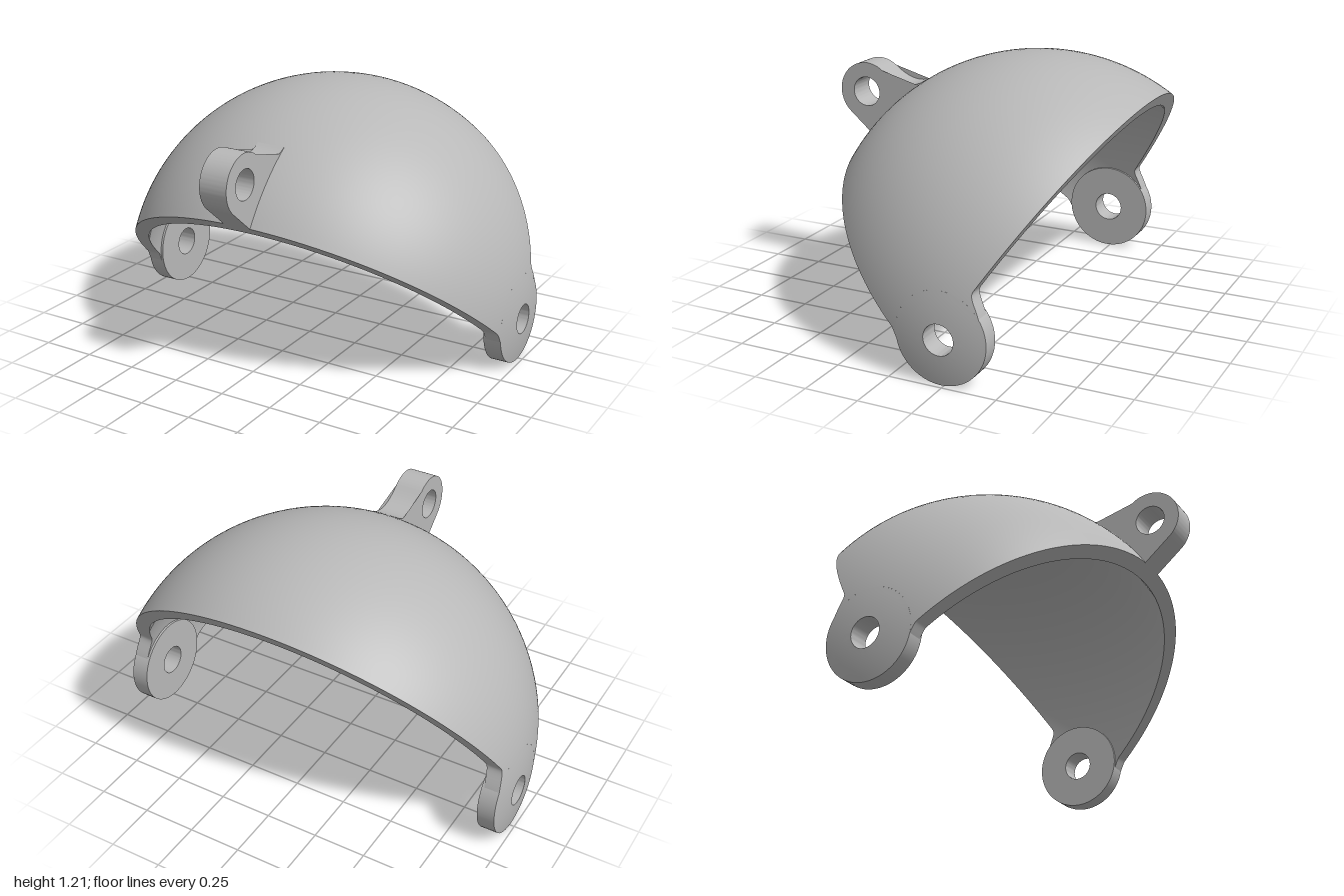
import * as THREE from 'three';
import { toCreasedNormals } from 'three/addons/utils/BufferGeometryUtils.js';

const CY = 0.213, CZ = -0.235;          // sphere centre and hinge axis
const R_OUT = 1, R_IN = 0.93;           // shell radii
const TAB_R = 0.21, HOLE_R = 0.07, TAB_X = 0.895;
const DEG = Math.PI / 180;
const TILT = 40.5 * DEG, OFFSET = 0.144; // front cut plane

// Start and end angles of the shell around the hinge axis, with small fillets at the tabs
const frontAngle = (rho) =>
  TILT - Math.asin(OFFSET / rho) - 8 * DEG * Math.max(0, (0.235 - rho) / 0.025) ** 2;
const backAngle = (rho) => 122.7 * DEG + 24 * DEG * Math.max(0, (0.27 - rho) / 0.06) ** 2.5;

// Point on a sphere of radius r; u runs from +x to -x, v from front cut to back cut
function shellPoint(r, u, v) {
  const a = Math.asin(TAB_R / r);
  const s = u - 0.9 * Math.sin(2 * Math.PI * u) / (2 * Math.PI);
  const phi = a + (Math.PI - 2 * a) * s;
  const rho = Math.max(TAB_R, r * Math.sin(phi));
  const t = THREE.MathUtils.lerp(frontAngle(rho), backAngle(rho), v);
  return [r * Math.cos(phi), CY + rho * Math.sin(t), CZ + rho * Math.cos(t)];
}

// Smooth grid surface from a point function
function grid(fn, nu, nv, flip) {
  const pos = [], idx = [];
  for (let j = 0; j <= nv; j++)
    for (let i = 0; i <= nu; i++) pos.push(...fn(i / nu, j / nv));
  for (let j = 0; j < nv; j++)
    for (let i = 0; i < nu; i++) {
      const a = j * (nu + 1) + i, b = a + 1, c = a + nu + 1, d = c + 1;
      if (flip) idx.push(a, b, c, b, d, c);
      else idx.push(a, c, b, b, c, d);
    }
  const g = new THREE.BufferGeometry();
  g.setAttribute('position', new THREE.Float32BufferAttribute(pos, 3));
  g.setIndex(idx);
  g.computeVertexNormals();
  return g;
}

export function createModel() {
  const model = new THREE.Group();
  model.name = 'hingedVisor';
  const grey = new THREE.MeshStandardMaterial({ color: 0xb8b8b8, side: THREE.DoubleSide });
  grey.name = 'grey';
  const add = (parent, name, geometry) => {
    const mesh = new THREE.Mesh(geometry, grey);
    mesh.name = name;
    parent.add(mesh);
    return mesh;
  };

  // Spherical shell: two skins and the two cut edges
  const shell = new THREE.Group();
  shell.name = 'shell';
  model.add(shell);
  const rim = (v) => (u, w) => shellPoint(R_OUT + (R_IN - R_OUT) * w, u, v);
  add(shell, 'outerSkin', grid((u, v) => shellPoint(R_OUT, u, v), 120, 48, false));
  add(shell, 'innerSkin', grid((u, v) => shellPoint(R_IN, u, v), 120, 48, true));
  add(shell, 'frontRim', grid(rim(0), 120, 1, true));
  add(shell, 'backRim', grid(rim(1), 120, 1, false));

  // Round hinge tabs: flat inside, domed outside to follow the shell
  const profile = [new THREE.Vector2(HOLE_R, TAB_X), new THREE.Vector2(TAB_R, TAB_X)];
  for (let i = 0; i <= 6; i++) {
    const rho = THREE.MathUtils.lerp(TAB_R, HOLE_R, i / 6);
    profile.push(new THREE.Vector2(rho, Math.sqrt(R_OUT ** 2 - rho ** 2)));
  }
  profile.push(profile[0].clone());
  const tab = toCreasedNormals(new THREE.LatheGeometry(profile, 64), 0.5);
  for (const side of [1, -1]) {
    const mesh = add(model, side > 0 ? 'leftHingeTab' : 'rightHingeTab', tab);
    mesh.rotation.z = -side * Math.PI / 2;
    mesh.position.set(0, CY, CZ);
  }

  // Front lug: side profile (z, y) with a pin hole, its lower face flush with the front cut
  const cz = 0.64, cy = 0.955, r = 0.14, width = 0.136;
  const lugShape = new THREE.Shape();
  lugShape.moveTo(0.588, 0.7265);
  lugShape.lineTo(cz + r * Math.sin(TILT), cy - r * Math.cos(TILT));
  lugShape.absarc(cz, cy, r, TILT - Math.PI / 2, 130 * DEG, false);
  lugShape.bezierCurveTo(0.5, 1.022, 0.42, 0.978, 0.33, 1.038);
  lugShape.lineTo(0.31, 1.0);
  lugShape.closePath();
  const hole = new THREE.Path();
  hole.absarc(cz, cy, HOLE_R, 0, Math.PI * 2, true);
  lugShape.holes.push(hole);
  const lug = new THREE.ExtrudeGeometry(lugShape, { depth: width, bevelEnabled: false, curveSegments: 32 });
  lug.translate(0, 0, -width / 2);
  lug.rotateY(-Math.PI / 2);
  add(model, 'frontLug', toCreasedNormals(lug, 0.5));

  return model;
}
